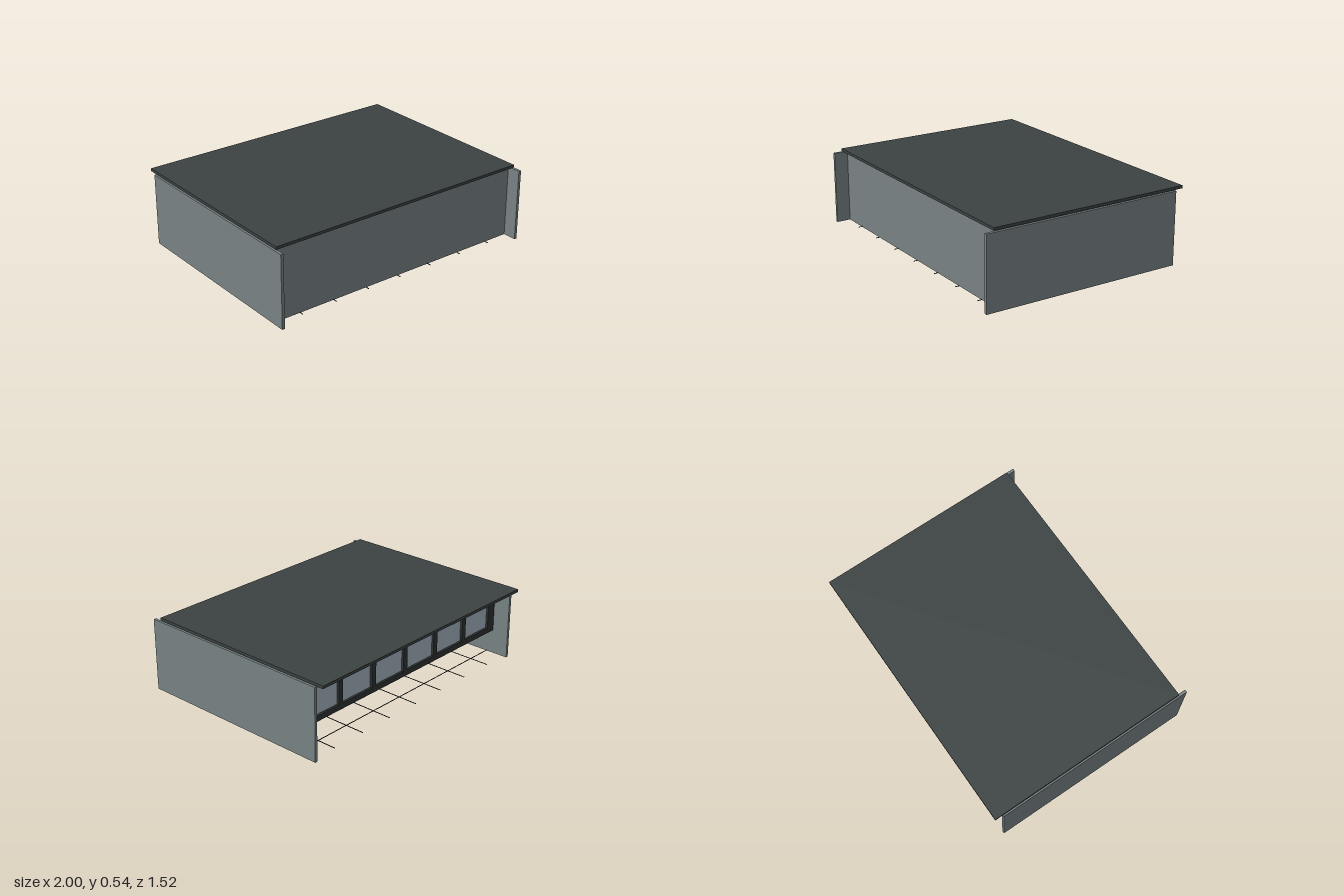
import * as THREE from 'three';

const mat = (name, color) => {
  const m = new THREE.MeshStandardMaterial({ color });
  m.name = name;
  return m;
};

export function createModel() {
  const wallGrey = mat('wall grey', 0x788284);
  const roofDark = mat('roof charcoal', 0x3c4242);
  const frameDark = mat('frame charcoal', 0x2e3333);
  const lineDark = mat('joint black', 0x1f2323);
  const glass = mat('window glass', 0xa3b3be);
  const wood = mat('counter wood', 0xb07a4c);
  const metal = mat('metal', 0xc4c9cc);

  const model = new THREE.Group();
  model.name = 'pavilion';

  // Box given by its limits on each axis
  const box = (name, m, x0, x1, y0, y1, z0, z1, parent = model) => {
    const mesh = new THREE.Mesh(new THREE.BoxGeometry(x1 - x0, y1 - y0, z1 - z0), m);
    mesh.position.set((x0 + x1) / 2, (y0 + y1) / 2, (z0 + z1) / 2);
    mesh.name = name;
    parent.add(mesh);
    return mesh;
  };
  const group = (name) => {
    const g = new THREE.Group();
    g.name = name;
    model.add(g);
    return g;
  };

  // Shell: side walls, front wall, ceiling and roof slab
  box('leftWall', wallGrey, 0.98, 1, 0, 0.515, -0.7, 0.76);
  box('rightWall', wallGrey, -1, -0.98, 0, 0.515, -0.7, 0.76);
  box('frontWall', wallGrey, -0.98, 0.98, 0, 0.515, 0.64, 0.66);
  box('ceiling', frameDark, -0.98, 0.98, 0.51, 0.52, -0.71, 0.66);
  box('roof', roofDark, -0.99, 0.99, 0.52, 0.54, -0.76, 0.7);

  // Window band along the back
  const windows = group('windowBand');
  const pitch = 0.315;
  box('bottomRail', frameDark, -0.98, 0.98, 0.175, 0.215, -0.575, -0.535, windows);
  box('topRail', frameDark, -0.98, 0.98, 0.465, 0.51, -0.575, -0.535, windows);
  for (let i = 0; i <= 6; i++) {
    const x = (i - 3) * pitch;
    const half = i % 6 ? 0.02 : 0.035;
    box('mullion', frameDark, x - half, x + half, 0.215, 0.465, -0.575, -0.535, windows);
    box('soffitJoint', lineDark, x - 0.003, x + 0.003, 0.506, 0.51, -0.71, -0.575, windows);
    if (i < 6) box('windowPane', glass, x + 0.02, x + pitch - 0.02, 0.215, 0.465, -0.559, -0.551, windows);
  }

  // Floor joints, square grid
  const joints = group('floorJoints');
  const step = 0.264;
  for (let i = -3; i <= 3; i++) {
    box('lengthwiseJoint', lineDark, i * step - 0.002, i * step + 0.002, 0, 0.004, -0.67, 0.69, joints);
  }
  for (let i = -2; i <= 2; i++) {
    box('crosswiseJoint', lineDark, -0.98, 0.98, 0, 0.004, i * step - 0.002, i * step + 0.002, joints);
  }

  // Entrance mat made of slats
  const mat0 = group('entranceMat');
  for (let i = 0; i < 6; i++) {
    const z = 0.27 + i * 0.035;
    box('matSlat', lineDark, -0.2, 0.2, 0, 0.005, z - 0.003, z + 0.003, mat0);
  }

  // Counter: two wooden runs with a dark block between them
  const counter = group('counter');
  for (const s of [-1, 1]) {
    const xs = [s * 0.13, s * 0.855].sort((a, b) => a - b);
    box('counterRun', wood, xs[0], xs[1], 0, 0.165, -0.29, -0.17, counter);
    for (const x of [0.2, 0.72]) {
      box('counterFoot', wallGrey, s * x - 0.05, s * x + 0.05, 0, 0.1, -0.17, -0.1, counter);
    }
    for (let i = 1; i < 3; i++) {
      const x = s * (0.13 + i * 0.242);
      box('panelJoint', lineDark, x - 0.002, x + 0.002, 0.01, 0.16, -0.292, -0.29, counter);
    }
  }
  box('countertop', frameDark, -0.88, 0.88, 0.165, 0.19, -0.32, -0.13, counter);
  box('centreBlock', frameDark, -0.13, 0.13, 0, 0.22, -0.3, -0.16, counter);

  // Arched tap on the centre block
  const tap = new THREE.Mesh(new THREE.TorusGeometry(0.03, 0.006, 8, 20, Math.PI), metal);
  tap.name = 'tap';
  tap.position.set(0, 0.22, -0.25);
  counter.add(tap);

  return model;
}
